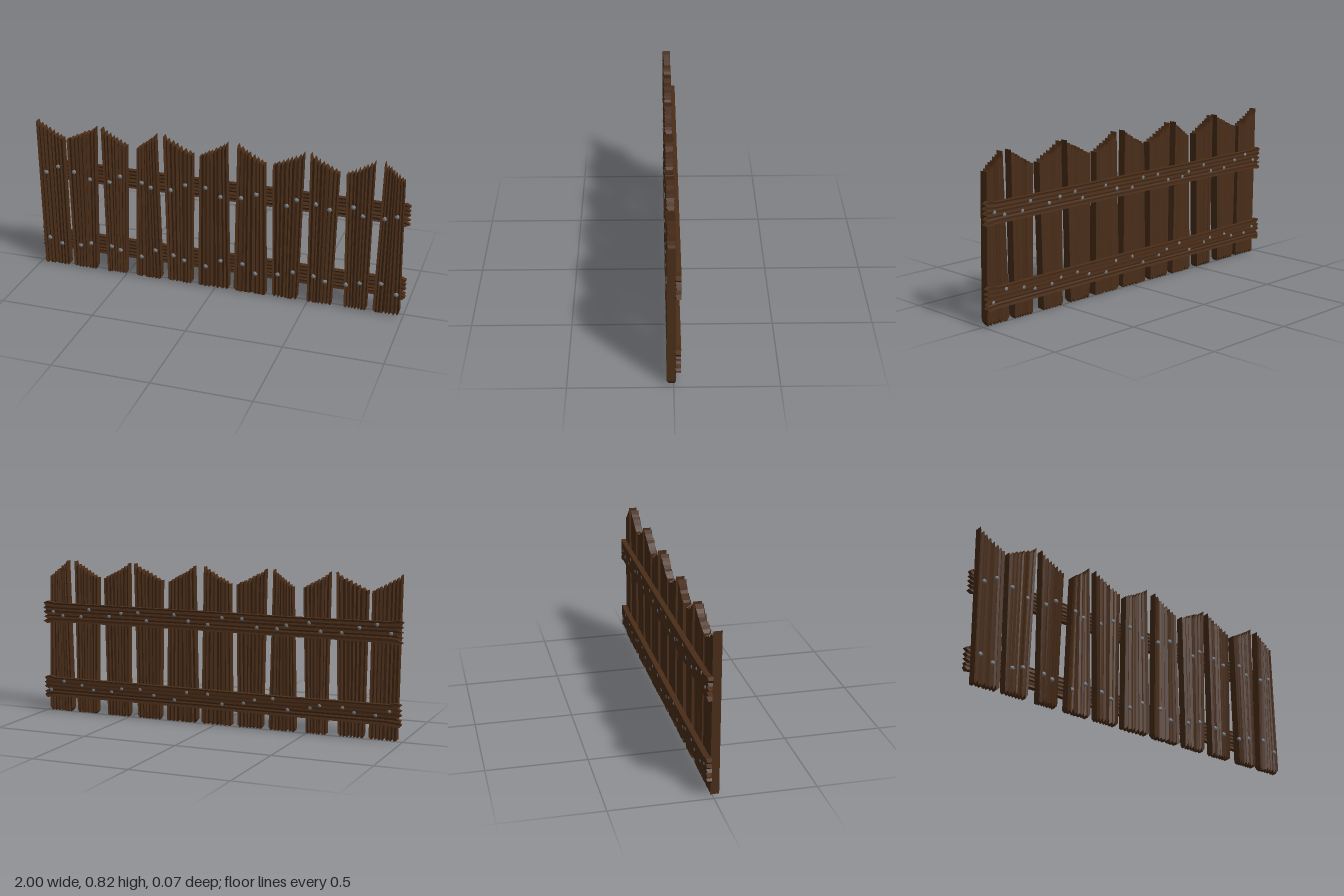
import * as THREE from 'three';

const wood = new THREE.MeshStandardMaterial({ color: 0x4a2d18, flatShading: true });
const steel = new THREE.MeshStandardMaterial({ color: 0x747a80 });

let seed = 7;
const rand = () => {
  seed = (seed * 16807) % 2147483647;
  return seed / 2147483647;
};

// Grooved plank running along y. rows: [y, left, right]; startJag and endJag
// give the raggedness of the two ends as a y offset per column.
function plankGeometry(rows, n, zBack, zFront, groove, startJag, endJag) {
  const cols = [];
  for (let i = 0; i <= n; i++) {
    const edge = i === 0 || i === n;
    const depth = () => (edge ? 0 : (i % 2 ? 0.45 + 0.55 * rand() : 0.25 * rand()) * groove);
    const u = (i + (edge ? 0 : (rand() - 0.5) * 0.6)) / n;
    cols.push({ u, front: zFront - depth(), back: zBack + depth() * 0.6, lo: startJag(u, i), hi: endJag(u, i) });
  }
  const ring = 2 * (n + 1);
  const pos = [];
  const index = [];
  rows.forEach(([y, left, right], j) => {
    for (let k = 0; k < ring; k++) {
      const c = cols[k <= n ? k : ring - 1 - k];
      const jag = j === 0 ? c.lo : j === rows.length - 1 ? c.hi : 0;
      pos.push(left + (right - left) * c.u, y + jag, k <= n ? c.front : c.back);
    }
  });
  const quad = (a, b, c, d) => index.push(a, b, c, a, c, d);
  for (let j = 0; j < rows.length - 1; j++) {
    for (let k = 0; k < ring; k++) {
      const m = (k + 1) % ring;
      quad(j * ring + k, j * ring + m, (j + 1) * ring + m, (j + 1) * ring + k);
    }
  }
  // Ragged end faces
  const top = (rows.length - 1) * ring;
  for (let i = 0; i < n; i++) {
    const back = ring - 1 - i;
    quad(top + i, top + i + 1, top + back - 1, top + back);
    quad(back, back - 1, i + 1, i);
  }
  const g = new THREE.BufferGeometry();
  g.setAttribute('position', new THREE.Float32BufferAttribute(pos, 3));
  g.setIndex(index);
  const flat = g.toNonIndexed();
  flat.computeVertexNormals();
  return flat;
}

function addMesh(parent, name, geometry, material) {
  const mesh = new THREE.Mesh(geometry, material);
  mesh.name = name;
  parent.add(mesh);
  return mesh;
}

// Picket corners: bottom left, bottom right, top left, top right
const PICKETS = [
  [-0.97, -0.83, -0.98, -0.835], [-0.8, -0.67, -0.81, -0.65], [-0.605, -0.5, -0.615, -0.48],
  [-0.44, -0.3, -0.42, -0.32], [-0.26, -0.13, -0.275, -0.12], [-0.09, 0.075, -0.08, 0.06],
  [0.105, 0.275, 0.12, 0.26], [0.315, 0.445, 0.305, 0.46], [0.5, 0.625, 0.495, 0.64],
  [0.695, 0.81, 0.68, 0.815], [0.845, 0.98, 0.865, 0.965],
];

// Bolt positions, two per picket on each rail
const UPPER_BOLTS = [
  [-0.94, 0.54], [-0.87, 0.58], [-0.78, 0.56], [-0.69, 0.53], [-0.58, 0.53], [-0.52, 0.57],
  [-0.4, 0.55], [-0.35, 0.53], [-0.24, 0.53], [-0.16, 0.57], [-0.05, 0.57], [0.03, 0.53],
  [0.14, 0.54], [0.22, 0.57], [0.38, 0.53], [0.43, 0.57], [0.53, 0.56], [0.6, 0.54],
  [0.72, 0.57], [0.77, 0.53], [0.88, 0.53], [0.94, 0.55],
];
const LOWER_BOLTS = [
  [-0.94, 0.155], [-0.87, 0.13], [-0.76, 0.135], [-0.7, 0.155], [-0.58, 0.155], [-0.53, 0.14],
  [-0.41, 0.12], [-0.33, 0.17], [-0.23, 0.155], [-0.17, 0.135], [-0.05, 0.12], [0.03, 0.165],
  [0.15, 0.165], [0.22, 0.12], [0.34, 0.135], [0.42, 0.16], [0.53, 0.155], [0.59, 0.135],
  [0.7, 0.135], [0.77, 0.155], [0.88, 0.17], [0.96, 0.12],
];

export function createModel() {
  const fence = new THREE.Group();
  fence.name = 'picketFence';

  // Pickets, their slanted broken tops alternating in direction
  const pickets = new THREE.Group();
  pickets.name = 'pickets';
  fence.add(pickets);
  PICKETS.forEach(([bl, br, tl, tr], p) => {
    const n = 14;
    const bottom = (u, i) => (i % 2 ? 0 : 0.006 + 0.016 * rand());
    const slant = (u, i) => {
      const t = p % 2 ? u : 1 - u;
      if (t === 1) return 0.085;
      return Math.max(0, 0.078 * t - (i % 2 ? 0.012 + 0.014 * rand() : -0.004 * rand()));
    };
    const g = plankGeometry([[0, bl, br], [0.74, tl, tr]], n, -0.01, 0.033, 0.012, bottom, slant);
    addMesh(pickets, `picket${p + 1}`, g, wood);
  });

  // Horizontal rails behind the pickets, flared and splintered at the ends
  [['lowerRail', 0.137], ['upperRail', 0.546]].forEach(([name, y]) => {
    const rows = [[-1, -0.061, 0.061], [-0.93, -0.052, 0.052], [-0.4, -0.049, 0.051],
      [0.1, -0.051, 0.049], [0.93, -0.051, 0.052], [1, -0.06, 0.061]];
    const splinter = (u, i) => (i % 2 ? 0 : 0.01 + 0.022 * rand());
    const g = plankGeometry(rows, 10, -0.035, -0.007, 0.007, splinter, (u, i) => -splinter(u, i));
    g.rotateZ(-Math.PI / 2);
    addMesh(fence, name, g, wood).position.y = y;
  });

  // Domed bolt heads on the front, with matching ends on the back of the rails
  const dome = new THREE.SphereGeometry(1, 10, 4, 0, Math.PI * 2, 0, Math.PI / 2).rotateX(Math.PI / 2);
  const bolts = new THREE.Group();
  bolts.name = 'bolts';
  fence.add(bolts);
  for (const [x, y] of [...UPPER_BOLTS, ...LOWER_BOLTS]) {
    const front = addMesh(bolts, 'frontBolt', dome, steel);
    front.position.set(x, y, 0.026);
    front.scale.set(0.013, 0.013, 0.011);
    const back = addMesh(bolts, 'backBolt', dome, steel);
    back.position.set(x, y, -0.029);
    back.rotation.y = Math.PI;
    back.scale.set(0.012, 0.012, 0.008);
  }
  return fence;
}
